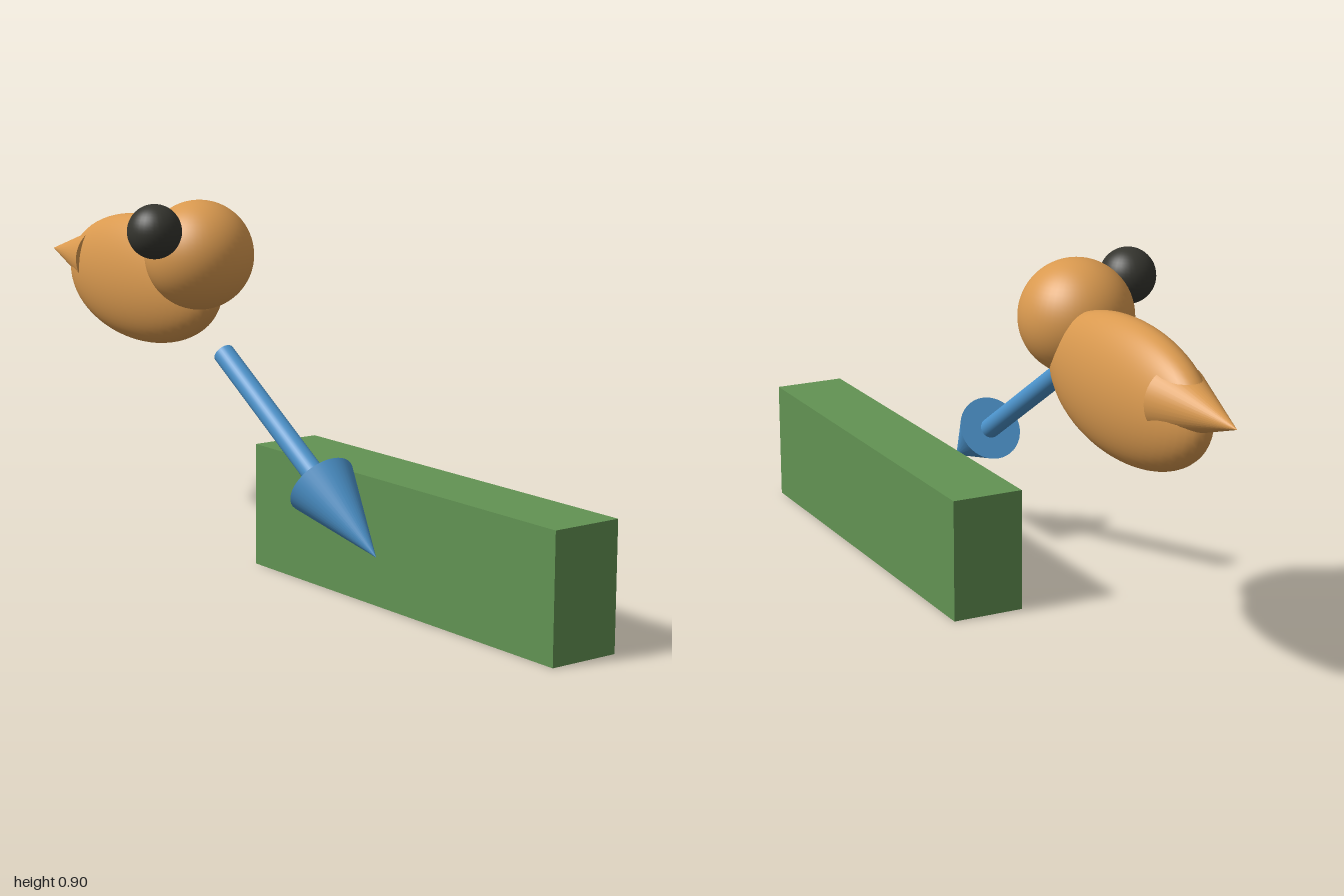
import * as THREE from 'three';

const material = (name, color) => {
  const m = new THREE.MeshStandardMaterial({ color });
  m.name = name;
  return m;
};

function part(parent, name, geometry, mat, x, y, z) {
  const mesh = new THREE.Mesh(geometry, mat);
  mesh.name = name;
  mesh.position.set(x, y, z);
  parent.add(mesh);
  return mesh;
}

export function createModel() {
  const orange = material('warm orange', 0xd9994f);
  const charcoal = material('charcoal', 0x35352f);
  const blue = material('blue', 0x4c93cb);
  const green = material('green', 0x629353);

  const model = new THREE.Group();
  model.name = 'birdArrowAndBlock';

  // Bird: flattened body, round head, pointed tail and a ball on the head
  const bird = new THREE.Group();
  bird.name = 'bird';
  model.add(bird);
  const body = part(bird, 'body', new THREE.SphereGeometry(1, 48, 32), orange, -0.55, 0.67, -0.02);
  body.scale.set(0.33, 0.165, 0.091);
  part(bird, 'head', new THREE.SphereGeometry(0.136, 48, 32), orange, -0.25, 0.765, 0.012);
  part(bird, 'eye', new THREE.SphereGeometry(0.067, 32, 24), charcoal, -0.217, 0.837, 0.166);
  const tail = part(bird, 'tail', new THREE.ConeGeometry(0.08, 0.245, 40), orange, -0.8775, 0.7, -0.02);
  tail.rotation.z = Math.PI / 2;

  // Arrow: built along +y from its tail end, then swung down towards +x
  const shaftLength = 0.463, tipLength = 0.241;
  const arrow = new THREE.Group();
  arrow.name = 'arrow';
  arrow.position.set(-0.013, 0.56, 0.104);
  arrow.rotation.z = -Math.PI / 2 - Math.atan2(0.38, 0.593);
  model.add(arrow);
  part(arrow, 'arrowShaft', new THREE.CylinderGeometry(0.026, 0.026, shaftLength, 32), blue,
    0, shaftLength / 2, 0);
  part(arrow, 'arrowHead', new THREE.ConeGeometry(0.083, tipLength, 40), blue,
    0, shaftLength + tipLength / 2, 0);

  // Long block resting on the ground behind the arrow
  part(model, 'block', new THREE.BoxGeometry(1.095, 0.305, 0.182), green, 0.4525, 0.1525, -0.14);

  return model;
}
